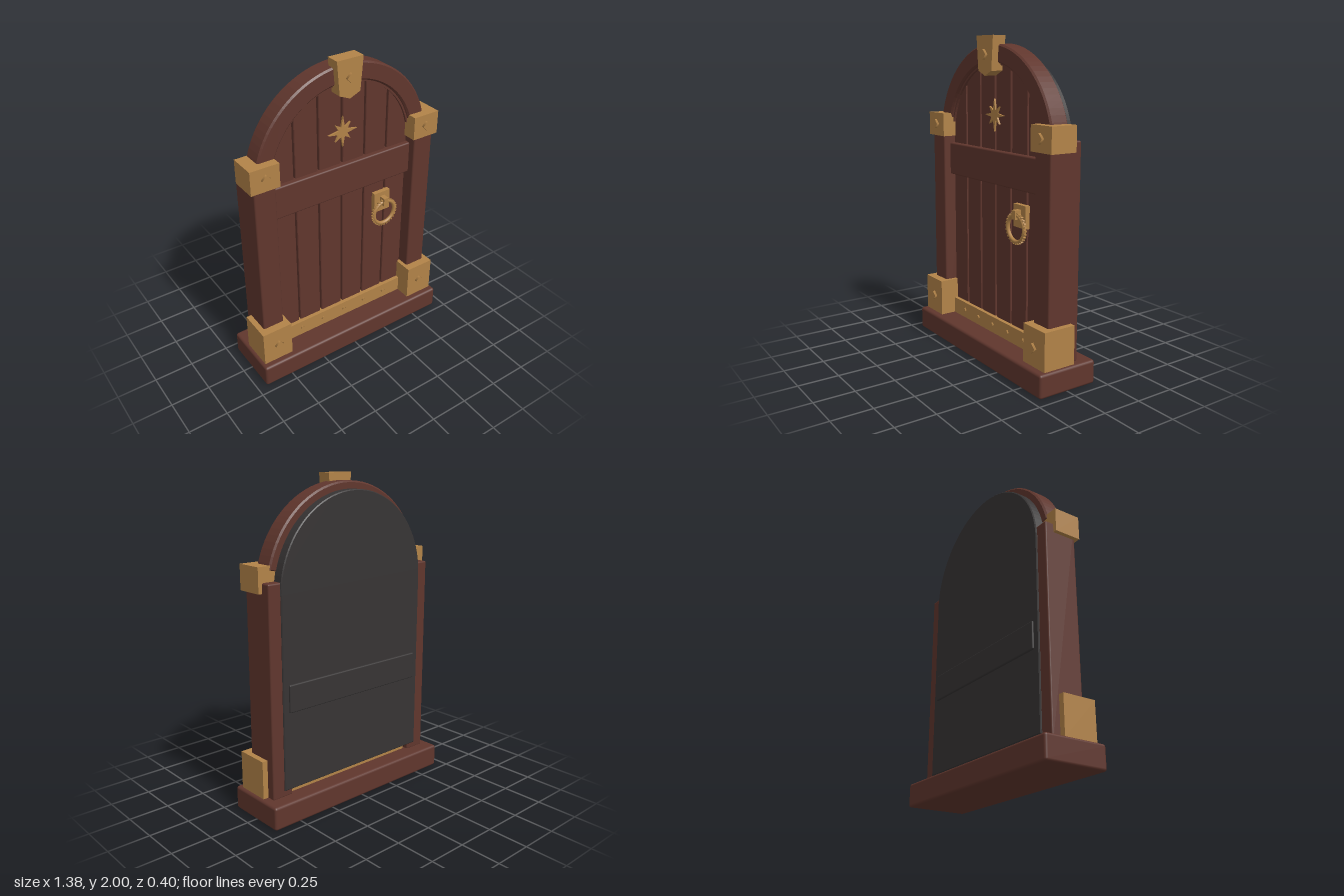
import * as THREE from 'three';
import { RoundedBoxGeometry } from 'three/addons/geometries/RoundedBoxGeometry.js';

const mat = (name, color) => {
  const m = new THREE.MeshStandardMaterial({ color });
  m.name = name;
  return m;
};

const ARCH_Y = 1.35; // centre height of the arch

export function createModel() {
  const wood = mat('wood', 0x60362d);
  const brass = mat('brass', 0xb28348);
  const dark = mat('dark backing', 0x373434);
  const model = new THREE.Group();
  model.name = 'archedDoor';

  const add = (name, geometry, material, x = 0, y = 0, z = 0) => {
    const mesh = new THREE.Mesh(geometry, material);
    mesh.name = name;
    mesh.position.set(x, y, z);
    model.add(mesh);
    return mesh;
  };
  // box given by its limits, with optional rounded edges
  const box = (name, material, x0, x1, y0, y1, z0, z1, r = 0) => {
    const s = [x1 - x0, y1 - y0, z1 - z0];
    const g = r ? new RoundedBoxGeometry(...s, 2, r) : new THREE.BoxGeometry(...s);
    return add(name, g, material, (x0 + x1) / 2, (y0 + y1) / 2, (z0 + z1) / 2);
  };
  // extruded shape between two depths, bevel kept inside the outline
  const slab = (name, material, shape, z0, z1, bevel = 0, curveSegments = 24) => {
    const g = new THREE.ExtrudeGeometry(shape, {
      depth: z1 - z0 - 2 * bevel, curveSegments, bevelEnabled: bevel > 0,
      bevelThickness: bevel, bevelSize: bevel, bevelOffset: -bevel, bevelSegments: 1,
    });
    return add(name, g, material, 0, 0, z0 + bevel);
  };
  const polygon = (pts) => new THREE.Shape(pts.map(([x, y]) => new THREE.Vector2(x, y)));
  // four-sided diamond stud
  const stud = (name, x, y, z, r, depth) => {
    const g = new THREE.CylinderGeometry(r, r, depth, 4);
    g.rotateX(Math.PI / 2);
    return add(name, g, brass, x, y, z + depth / 2);
  };

  // plinth and brass threshold
  box('plinth', wood, -0.69, 0.69, 0, 0.145, -0.2, 0.2, 0.016);
  box('threshold', brass, -0.48, 0.48, 0.14, 0.25, -0.085, 0.055);
  for (let i = -2; i <= 2; i++) stud('thresholdStud', i * 0.165, 0.2, 0.055, 0.014, 0.01);

  // posts with their brass corner blocks
  for (const s of [-1, 1]) {
    const side = (name, material, a, b, ...rest) =>
      box(name, material, Math.min(s * a, s * b), Math.max(s * a, s * b), ...rest);
    side('post', wood, 0.495, 0.635, 0.14, 1.425, -0.11, 0.105, 0.01);
    side('footBlock', brass, 0.47, 0.67, 0.145, 0.38, -0.057, 0.157);
    side('capitalBlock', brass, 0.475, 0.66, 1.365, 1.515, -0.053, 0.12);
    stud('footStud', s * 0.565, 0.26, 0.157, 0.03, 0.016);
    stud('capitalStud', s * 0.565, 1.443, 0.12, 0.03, 0.016);
  }

  // wooden arch
  const a0 = THREE.MathUtils.degToRad(13);
  const arch = new THREE.Shape();
  arch.absarc(0, ARCH_Y, 0.605, a0, Math.PI - a0, false);
  arch.absarc(0, ARCH_Y, 0.495, Math.PI - a0, a0, true);
  arch.closePath();
  slab('arch', wood, arch, -0.058, 0.065, 0.01, 20);

  // raised lip along the inner edge of the arch
  const lip = new THREE.Shape();
  lip.absarc(0, ARCH_Y, 0.5, a0, Math.PI - a0, false);
  lip.absarc(0, ARCH_Y, 0.483, Math.PI - a0, a0, true);
  lip.closePath();
  slab('archLip', wood, lip, -0.02, 0.045, 0, 20);

  // dark backing panel and its rear batten
  const panel = new THREE.Shape();
  panel.moveTo(-0.555, 0.18);
  panel.lineTo(0.555, 0.18);
  panel.lineTo(0.555, ARCH_Y);
  panel.absarc(0, ARCH_Y, 0.558, 0, Math.PI, false);
  panel.closePath();
  slab('backPanel', dark, panel, -0.119, -0.01, 0.006, 24);
  box('rearBatten', dark, -0.515, 0.515, 0.66, 0.83, -0.13, -0.1, 0.008);

  // six planks whose tops follow the arch
  for (let i = -3; i < 3; i++) {
    const x0 = i * 0.165 + 0.006, x1 = (i + 1) * 0.165 - 0.006;
    const pts = [[x0, 0.2], [x1, 0.2]];
    for (let k = 0; k <= 4; k++) {
      const x = x1 + (x0 - x1) * k / 4;
      pts.push([x, ARCH_Y + Math.sqrt(0.52 ** 2 - x * x)]);
    }
    slab('plank', wood, polygon(pts), -0.03, 0.03, 0.004);
  }
  box('crossBeam', wood, -0.497, 0.497, 1.11, 1.32, -0.02, 0.062, 0.01);

  // keystone
  slab('keystone', brass, polygon([
    [-0.07, 1.795], [0, 1.765], [0.07, 1.795], [0.088, 2], [-0.088, 2],
  ]), 0.02, 0.108);
  stud('keystoneStud', 0, 1.89, 0.108, 0.03, 0.016);

  // eight-pointed star
  const star = [];
  for (let i = 0; i < 16; i++) {
    const a = Math.PI / 2 + i * Math.PI / 8;
    const r = i % 2 ? 0.033 : i % 4 ? 0.075 : 0.1;
    star.push([r * Math.cos(a), 1.53 + r * Math.sin(a)]);
  }
  slab('star', brass, polygon(star), 0.03, 0.042);

  // ring handle: plate, hanger and beaded ring
  const hx = 0.292, hy = 0.89;
  box('handlePlate', brass, hx - 0.06, hx + 0.06, 0.89, 1.028, 0.025, 0.06);
  box('handleHanger', brass, hx - 0.017, hx + 0.017, 0.945, 1.0, 0.06, 0.105);
  box('handleHangerBar', brass, hx - 0.04, hx + 0.04, 0.945, 0.962, 0.06, 0.085);
  add('handleRing', new THREE.TorusGeometry(0.08, 0.012, 8, 32), brass, hx, hy, 0.085);
  for (let i = 0; i < 28; i++) {
    const a = i / 28 * Math.PI * 2;
    const bead = add('ringBead', new THREE.BoxGeometry(0.012, 0.01, 0.016), brass,
      hx + 0.091 * Math.cos(a), hy + 0.091 * Math.sin(a), 0.085);
    bead.rotation.z = a;
  }
  return model;
}
